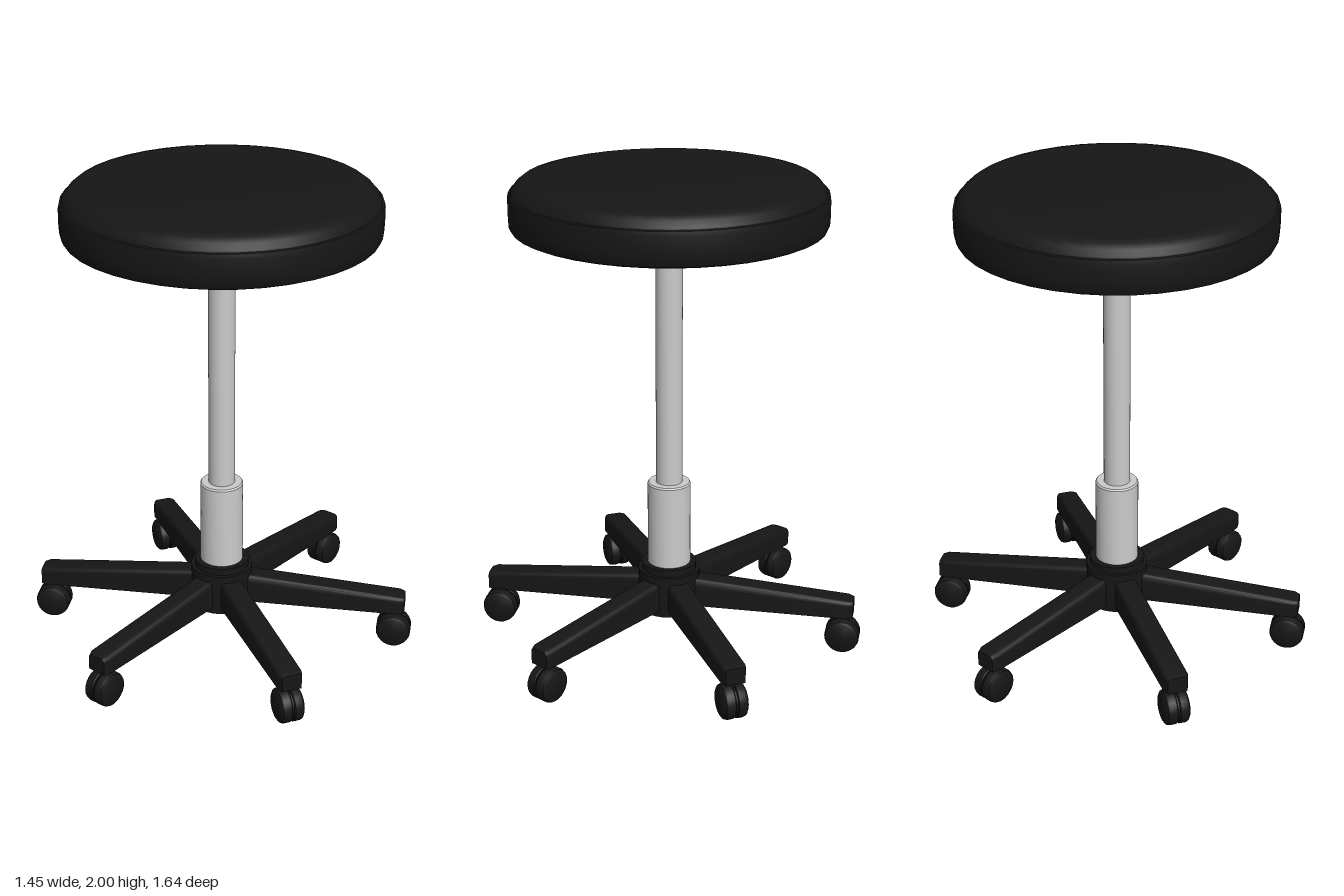
import * as THREE from 'three';
import { toCreasedNormals } from 'three/addons/utils/BufferGeometryUtils.js';

const black = new THREE.MeshStandardMaterial({ color: 0x161616 });
const grey = new THREE.MeshStandardMaterial({ color: 0xcccccc });

function add(parent, name, geometry, material) {
  const mesh = new THREE.Mesh(toCreasedNormals(geometry, 0.6), material);
  mesh.name = name;
  parent.add(mesh);
  return mesh;
}

// Turned solid from [radius, height] pairs, listed from bottom to top
function turned(points, segments = 32) {
  return new THREE.LatheGeometry(points.map(([r, y]) => new THREE.Vector2(r, y)), segments);
}

// Tapered leg: rounded-top cross-section swept outwards, height falling to the tip
function legGeometry() {
  const w = 0.05;
  const section = new THREE.Shape();
  section.moveTo(-w, 0);
  section.lineTo(w, 0);
  section.lineTo(w, 0.75);
  section.quadraticCurveTo(w, 1, w * 0.6, 1);
  section.lineTo(-w * 0.6, 1);
  section.quadraticCurveTo(-w, 1, -w, 0.75);
  const geo = new THREE.ExtrudeGeometry(section, { depth: 1, steps: 2, bevelEnabled: false, curveSegments: 4 });
  const p = geo.attributes.position;
  const stations = [
    { r: 0.05, top: 0.295, width: 0.95 },
    { r: 0.765, top: 0.242, width: 1 },
    { r: 0.788, top: 0.235, width: 0.82 },
  ];
  for (let i = 0; i < p.count; i++) {
    const s = stations[Math.round(p.getZ(i) * 2)];
    p.setXYZ(i, p.getX(i) * s.width, 0.165 + p.getY(i) * (s.top - 0.165), s.r);
  }
  return geo;
}

// Twin-wheel caster, axle along x
function createCaster() {
  const caster = new THREE.Group();
  caster.name = 'caster';
  const wheel = turned([[0, 0.004], [0.07, 0.004], [0.073, 0.008], [0.073, 0.032], [0.069, 0.043], [0.058, 0.05], [0, 0.051]], 24);
  for (const side of [1, -1]) {
    const mesh = add(caster, 'wheel', wheel, black);
    mesh.rotation.z = -side * Math.PI / 2;
    mesh.position.y = 0.074;
  }
  const core = add(caster, 'wheelCore', new THREE.CylinderGeometry(0.066, 0.066, 0.01, 24), black);
  core.rotation.z = Math.PI / 2;
  core.position.y = 0.074;
  const stem = add(caster, 'casterStem', new THREE.CylinderGeometry(0.016, 0.016, 0.06, 12), black);
  stem.position.y = 0.15;
  return caster;
}

export function createModel() {
  const stool = new THREE.Group();
  stool.name = 'stool';

  // Padded seat with a shallow seam under the domed rim
  add(stool, 'seat', turned([
    [0, 1.8], [0.61, 1.8], [0.626, 1.807], [0.634, 1.825], [0.636, 1.86], [0.636, 1.925],
    [0.632, 1.943], [0.624, 1.946], [0.622, 1.952], [0.605, 1.974], [0.585, 1.99], [0.555, 1.998], [0.5, 2], [0, 2],
  ], 40), black);

  // Collar, piston and sleeve
  add(stool, 'seatCollar', turned([[0, 1.7], [0.08, 1.7], [0.089, 1.71], [0.089, 1.81], [0, 1.81]]), black);
  add(stool, 'column', turned([[0, 0.6], [0.055, 0.6], [0.055, 1.72], [0, 1.72]]), grey);
  add(stool, 'sleeve', turned([[0, 0.3], [0.09, 0.3], [0.09, 0.705], [0.085, 0.712], [0, 0.712]]), grey);

  // Hub with a recessed underside
  add(stool, 'hub', turned([
    [0, 0.17], [0.07, 0.17], [0.07, 0.14], [0.13, 0.14], [0.13, 0.32],
    [0.115, 0.32], [0.115, 0.35], [0, 0.35],
  ]), black);

  // Six legs, each carrying a caster
  const leg = legGeometry();
  for (let i = 0; i < 6; i++) {
    const arm = new THREE.Group();
    arm.name = 'legAssembly';
    arm.rotation.y = i * Math.PI / 3;
    add(arm, 'leg', leg, black);
    const caster = createCaster();
    caster.position.z = 0.745;
    arm.add(caster);
    stool.add(arm);
  }
  return stool;
}
